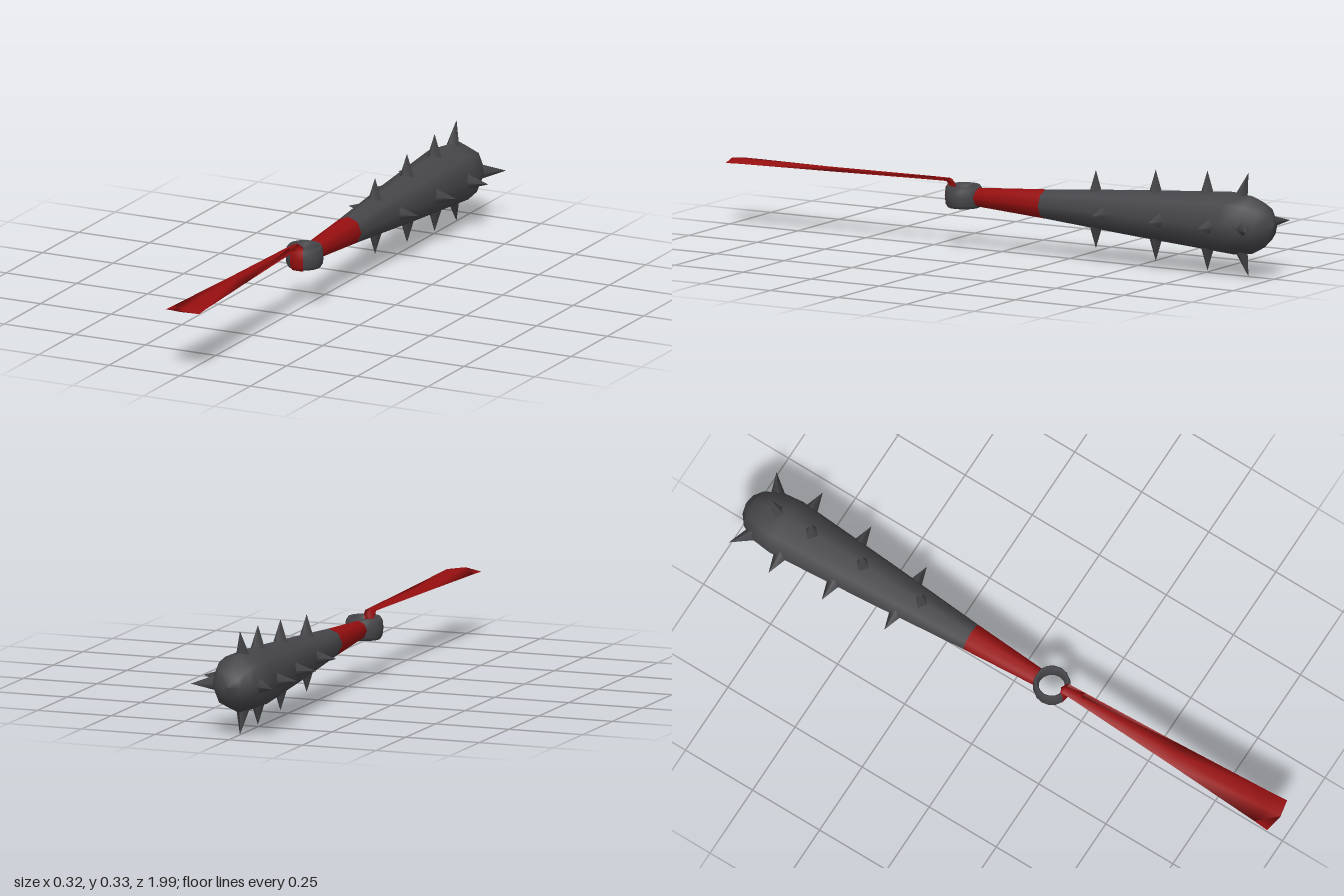
import * as THREE from 'three';

const AXIS_Y = 0.167;

const iron = new THREE.MeshStandardMaterial({ color: 0x47474b });
iron.name = 'darkIron';
const red = new THREE.MeshStandardMaterial({ color: 0x980f10 });
red.name = 'redCloth';

function addMesh(parent, name, geometry, material) {
  const mesh = new THREE.Mesh(geometry, material);
  mesh.name = name;
  parent.add(mesh);
  return mesh;
}

// Eight-sided turned part along the club axis; profile is [radius, -z]
function turned(profile) {
  const points = profile.map(([r, d]) => new THREE.Vector2(r, d));
  return new THREE.LatheGeometry(points, 8).rotateX(-Math.PI / 2).translate(0, AXIS_Y, 0);
}

// Four-sided spike from base to tip, both [radius, z], turned about the axis
function addSpike(parent, angle, base, tip) {
  const place = ([r, z]) => new THREE.Vector3(Math.cos(angle) * r, AXIS_Y + Math.sin(angle) * r, z);
  const from = place(base);
  const dir = place(tip).sub(from);
  const height = dir.length();
  const geometry = new THREE.ConeGeometry(0.026, height, 4).translate(0, height / 2, 0);
  const spike = addMesh(parent, 'spike', geometry, iron);
  // turn a diagonal edge along the club before standing the spike up
  const pitch = new THREE.Quaternion().setFromAxisAngle(
    new THREE.Vector3(1, 0, 0), Math.atan2(dir.z, Math.hypot(dir.x, dir.y)));
  const roll = new THREE.Quaternion().setFromAxisAngle(new THREE.Vector3(0, 0, 1), angle - Math.PI / 2);
  spike.quaternion.copy(roll).multiply(pitch);
  spike.position.copy(from);
}

// Arc of the pommel ring, standing upright; angles run from +x towards +z
function ringArc(start, sweep, segments, tube) {
  return new THREE.TorusGeometry(0.051, tube, 8, segments, sweep)
    .rotateZ(start)
    .rotateX(Math.PI / 2)
    .scale(1, 3.7, 1)
    .translate(0, AXIS_Y, 0.14);
}

// Ribbon with a shallow ridge, lofted through [z, y, half width, tilt]
function ribbonGeometry(sections) {
  const positions = [];
  const index = [];
  for (const [z, y, w, tilt] of sections) {
    const ny = Math.cos(tilt), nz = -Math.sin(tilt);
    for (const [x, h] of [[w, -0.004], [0, 0.004], [-w, -0.004], [0, -0.002]]) {
      positions.push(x, y + ny * h, z + nz * h + (x === 0 && z > 0.9 ? 0.012 : 0));
    }
  }
  for (let s = 0; s < sections.length - 1; s++) {
    for (let i = 0; i < 4; i++) {
      const a = s * 4 + i, b = s * 4 + (i + 1) % 4;
      index.push(a, b, a + 4, b, b + 4, a + 4);
    }
  }
  const e = (sections.length - 1) * 4;
  index.push(0, 3, 1, 1, 3, 2, e, e + 1, e + 3, e + 1, e + 2, e + 3);
  const geometry = new THREE.BufferGeometry();
  geometry.setAttribute('position', new THREE.Float32BufferAttribute(positions, 3));
  geometry.setIndex(index);
  geometry.computeVertexNormals();
  return geometry;
}

export function createModel() {
  const club = new THREE.Group();
  club.name = 'spikedClub';

  // Wrapped grip and swelling head
  addMesh(club, 'grip', turned([[0, -0.09], [0.03, -0.09], [0.047, 0.16]]), red);
  addMesh(club, 'head', turned([
    [0.047, 0.16], [0.075, 0.5], [0.1, 0.85], [0.092, 0.92], [0.068, 0.965], [0.036, 0.99], [0, 1],
  ]), iron);

  // Four rows of spikes; side rows are staggered towards the tip
  const spikes = new THREE.Group();
  spikes.name = 'spikes';
  club.add(spikes);
  const upright = [[-0.345, 0.125], [-0.565, 0.146], [-0.755, 0.16]];
  for (let row = 0; row < 4; row++) {
    const angle = row * Math.PI / 2;
    const side = row % 2 === 0;
    for (const [z, r] of upright) {
      const zz = side ? z - 0.06 : z;
      addSpike(spikes, angle, [r - 0.08, zz], [r, zz]);
    }
    if (side) addSpike(spikes, angle, [0.07, -0.925], [0.14, -0.975]);
    else addSpike(spikes, angle, [0.075, -0.877], [0.166, -0.906]);
  }

  // Pommel ring, with the cloth wrapped around its front
  const wrap = Math.PI / 4;
  addMesh(club, 'pommelRing', ringArc(0, Math.PI * 2, 16, 0.0095), iron);
  addMesh(club, 'ribbonWrap', ringArc(Math.PI / 2 - wrap / 2, wrap, 2, 0.0103), red).material.side = THREE.DoubleSide;

  // Long ribbon trailing from inside the ring
  addMesh(club, 'ribbon', ribbonGeometry([
    [0.18, 0.165, 0.016, 1.57], [0.179, 0.2, 0.017, 1.2], [0.192, 0.216, 0.019, 0.2],
    [0.25, 0.216, 0.021, 0], [0.6, 0.213, 0.037, 0], [0.93, 0.211, 0.055, 0], [0.98, 0.21, 0.059, 0],
  ]), red);

  return club;
}
